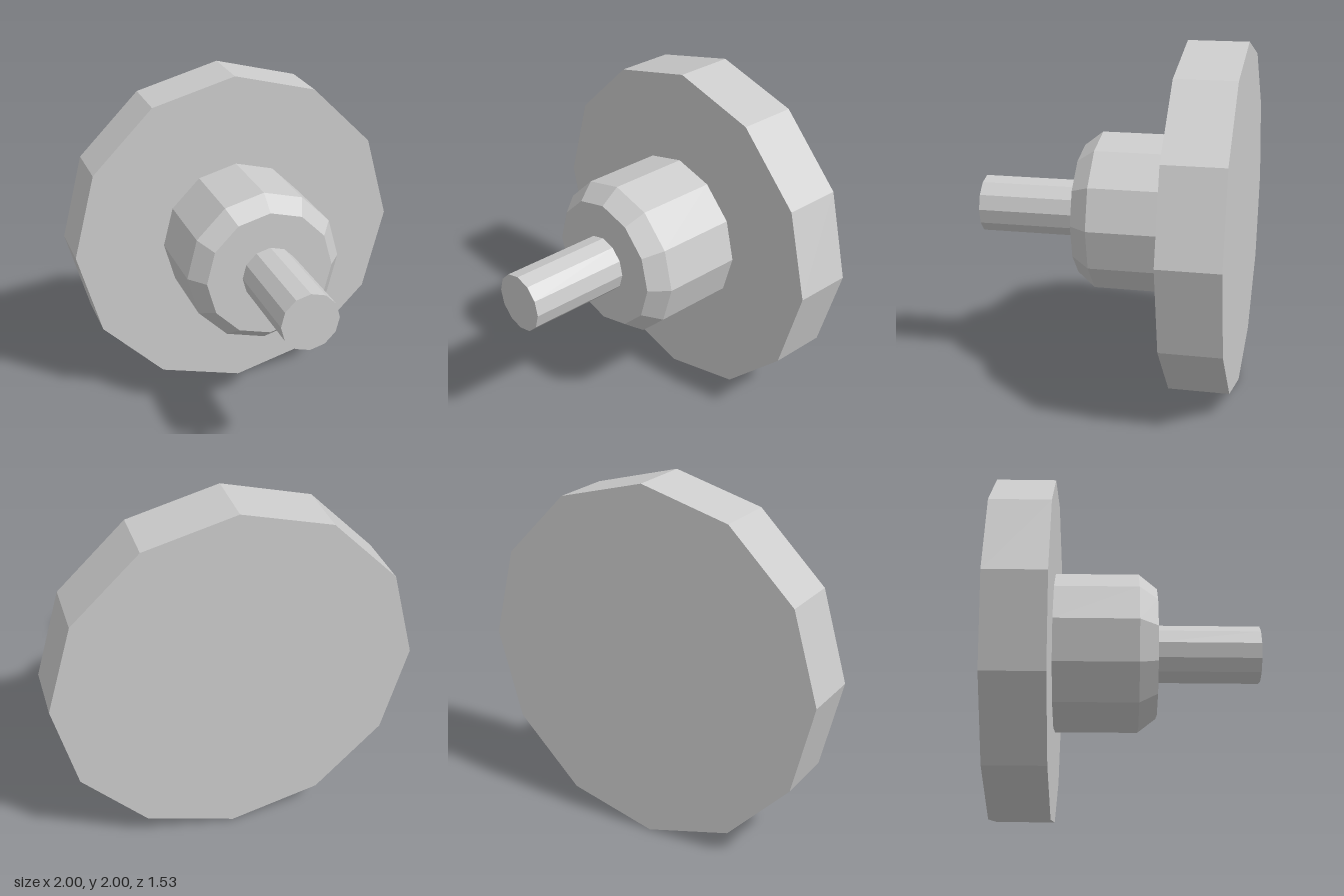
import * as THREE from 'three';

const SIDES = 12;

export function createModel() {
  const grey = new THREE.MeshStandardMaterial({ color: 0xcccccc, flatShading: true });
  grey.name = 'plain grey';

  const model = new THREE.Group();
  model.name = 'wheelAndAxle';

  // Turned part: profile of [radius, z] from back to front, around the z axis
  function addTurned(name, profile) {
    const points = profile.map(([r, z]) => new THREE.Vector2(r, z));
    const geometry = new THREE.LatheGeometry(points, SIDES)
      .rotateX(Math.PI / 2)
      .toNonIndexed();
    geometry.computeVertexNormals();
    const mesh = new THREE.Mesh(geometry, grey);
    mesh.name = name;
    mesh.position.y = 1;
    model.add(mesh);
  }

  // Broad disc at the back
  addTurned('disc', [[0, -0.763], [1, -0.763], [1, -0.423], [0, -0.423]]);
  // Hub with a bevelled front edge
  addTurned('hub', [[0.463, -0.423], [0.463, 0.057], [0.38, 0.163], [0, 0.163]]);
  // Thin axle pointing forward
  addTurned('axle', [[0.168, 0.163], [0.168, 0.763], [0, 0.763]]);

  return model;
}
